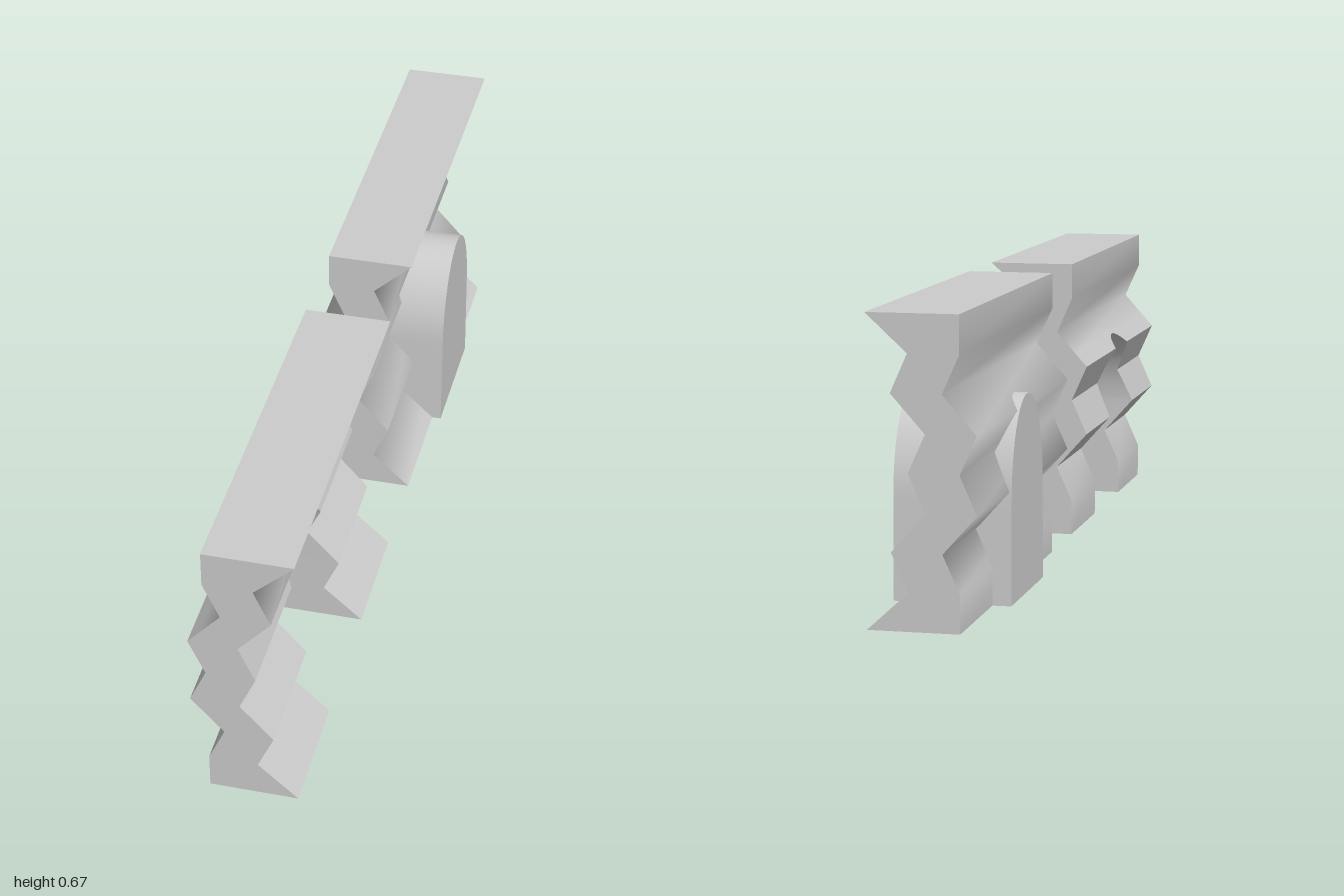
import * as THREE from 'three';
import { mergeGeometries, toCreasedNormals } from 'three/addons/utils/BufferGeometryUtils.js';

const HEIGHT = 0.665, THICK = 0.11, WALL_Z0 = 0.112, WALL_Z1 = 1;
const DOOR_Z = 0.558, DOOR_TOP = 0.445, SPRING = 0.229, DOOR_X = 0.132;
const FOLD = HEIGHT / 8;

// Back face offset at each fold; the front face is the same line moved by THICK
const foldX = [-0.09, -0.09, -0.053, -0.127, -0.09, -0.127, -0.053, -0.09, -0.09];
const foldY = foldX.map((_, i) => i * FOLD);
const frontX = foldX.map((x, i) => (i === 0 || i === 8 ? 0.11 : x + THICK));

// Arch levels, closer together towards the crown
const archY = [0];
for (let i = 0; i <= 12; i++) archY.push(SPRING + (DOOR_TOP - SPRING) * Math.sin((i / 12) * Math.PI / 2));

function along(values, y) {
  const i = Math.min(7, Math.max(0, Math.floor(y / FOLD + 1e-6)));
  return THREE.MathUtils.lerp(values[i], values[i + 1], y / FOLD - i);
}

function archHalf(y) {
  if (y <= SPRING) return 0.158 - 0.005 * (y / SPRING);
  const t = Math.min(1, (y - SPRING) / (DOOR_TOP - SPRING));
  return 0.153 * Math.sqrt(Math.max(0, 1 - t * t));
}

function levels(from, to, ...lists) {
  const all = [from, to, ...lists.flat()].filter((y) => y >= from && y <= to).sort((a, b) => a - b);
  return all.filter((y, i) => i === 0 || y - all[i - 1] > 1e-6);
}

// Stack of four-cornered sections: section(y) gives [x0, x1, z0, z1]
function loft(ys, section, capBottom, capTop) {
  const pos = [];
  const rings = ys.map((y) => {
    const [x0, x1, z0, z1] = section(y);
    return [[x0, y, z1], [x1, y, z1], [x1, y, z0], [x0, y, z0]];
  });
  const quad = (a, b, c, d) => pos.push(...a, ...b, ...c, ...a, ...c, ...d);
  for (let i = 0; i + 1 < rings.length; i++) {
    for (let k = 0; k < 4; k++) {
      const n = (k + 1) % 4;
      quad(rings[i][k], rings[i][n], rings[i + 1][n], rings[i + 1][k]);
    }
  }
  if (capBottom) quad(...rings[0].slice().reverse());
  if (capTop) quad(...rings[rings.length - 1]);
  const geo = new THREE.BufferGeometry();
  geo.setAttribute('position', new THREE.Float32BufferAttribute(pos, 3));
  return geo;
}

const wallSection = (z0, z1) => (y) => [along(foldX, y), along(frontX, y), z0, z1];
const jambs = [
  (y) => [along(foldX, y), along(frontX, y), WALL_Z0, DOOR_Z - archHalf(y)],
  (y) => [along(foldX, y), along(frontX, y), DOOR_Z + archHalf(y), WALL_Z1],
];

export function createModel() {
  const group = new THREE.Group();
  const material = new THREE.MeshStandardMaterial({ color: 0xcccccc, side: THREE.DoubleSide });
  const add = (name, geo, crease, parent) => {
    const mesh = new THREE.Mesh(toCreasedNormals(geo, crease), material);
    mesh.name = name;
    parent.add(mesh);
  };

  // Wall with an arched opening: sharp folds beside it, soft folds above
  const openWall = new THREE.Group();
  openWall.name = 'wallWithOpening';
  const split = 5 * FOLD;
  const low = levels(0, split, foldY, archY), mid = levels(split, DOOR_TOP, archY);
  add('jambs', mergeGeometries(jambs.map((s) => loft(low, s, true, false))), 0.5, openWall);
  add('lintel', mergeGeometries([
    ...jambs.map((s) => loft(mid, s, false, false)),
    loft(levels(DOOR_TOP, HEIGHT, foldY), wallSection(WALL_Z0, WALL_Z1), false, true),
  ]), 1.3, openWall);
  group.add(openWall);

  // Unbroken wall with an arched block through it
  const solidWall = new THREE.Group();
  solidWall.name = 'wallWithBlock';
  add('solidWall', loft(foldY, wallSection(-WALL_Z1, -WALL_Z0), true, true), 1.3, solidWall);
  add('archedBlock', loft(archY,
    (y) => [-DOOR_X, DOOR_X, -DOOR_Z - archHalf(y), -DOOR_Z + archHalf(y)], true, false), 0.6, solidWall);
  group.add(solidWall);

  return group;
}
